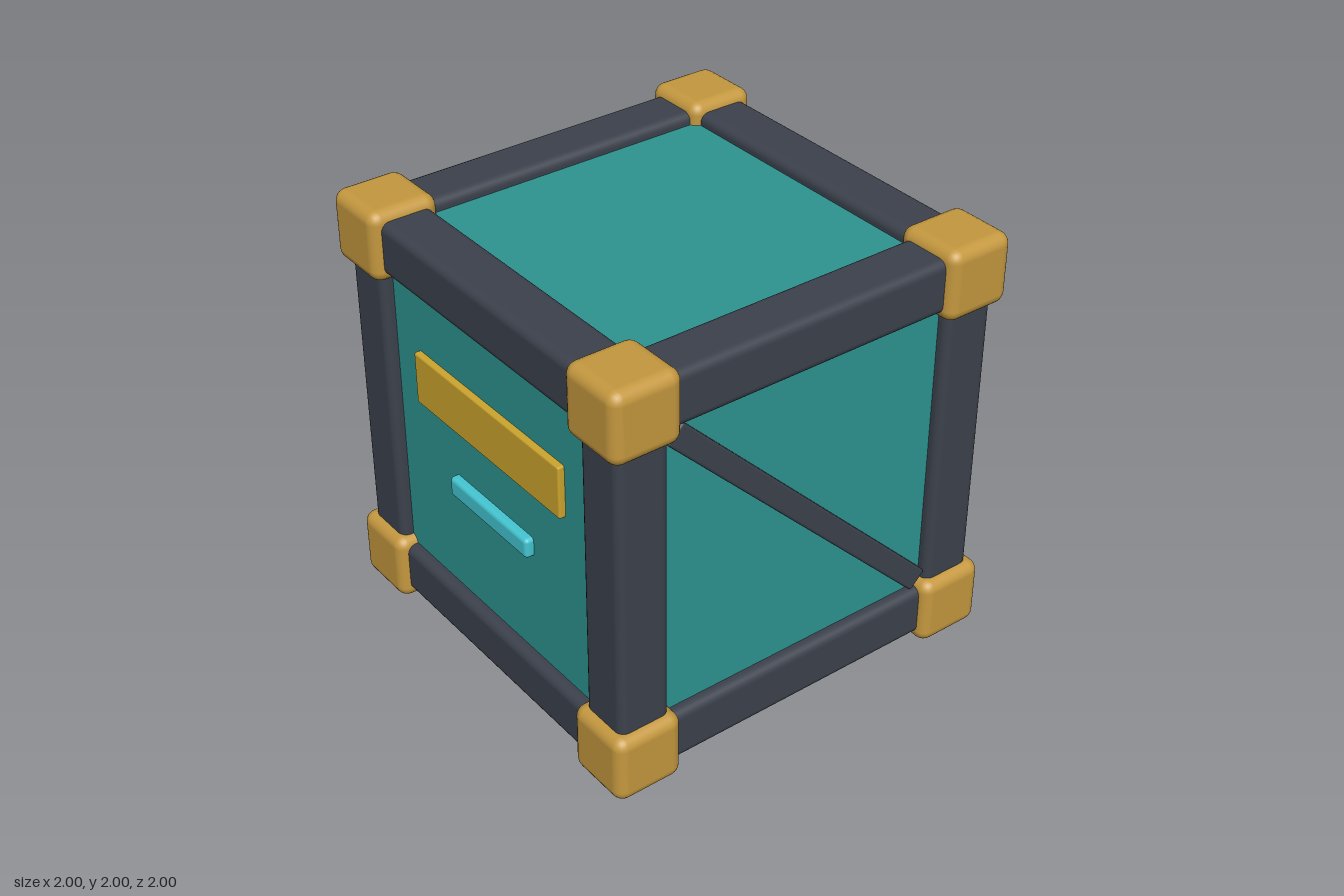
import * as THREE from 'three';
import { RoundedBoxGeometry } from 'three/addons/geometries/RoundedBoxGeometry.js';

function material(name, color) {
  const m = new THREE.MeshStandardMaterial({ color });
  m.name = name;
  return m;
}

export function createModel() {
  const teal = material('teal panel', 0x2d9490);
  const slate = material('dark slate frame', 0x3c414c);
  const gold = material('gold corner', 0xc4983f);
  const yellow = material('yellow plate', 0xcca42d);
  const cyan = material('cyan light', 0x44c6d2);

  // The crate is built around its own centre, then lifted onto the floor
  const model = new THREE.Group();
  model.name = 'crate';
  const body = new THREE.Group();
  body.name = 'crateBody';
  body.position.y = 1;
  model.add(body);

  const add = (name, geometry, mat, x, y, z) => {
    const mesh = new THREE.Mesh(geometry, mat);
    mesh.name = name;
    mesh.position.set(x, y, z);
    body.add(mesh);
    return mesh;
  };

  // Recessed panels on all six sides
  add('panelBox', new THREE.BoxGeometry(1.8, 1.8, 1.8), teal, 0, 0, 0);

  // Twelve edge bars, four along each axis
  const bar = 0.248, span = 1.5, offset = 0.831;
  const barX = new RoundedBoxGeometry(span, bar, bar, 3, 0.04);
  const barY = new RoundedBoxGeometry(bar, span, bar, 3, 0.04);
  const barZ = new RoundedBoxGeometry(bar, bar, span, 3, 0.04);
  const cap = new RoundedBoxGeometry(0.33, 0.33, 0.33, 3, 0.055);
  for (const a of [-1, 1]) {
    for (const b of [-1, 1]) {
      add('crossBar', barX, slate, 0, a * offset, b * offset);
      add('cornerPost', barY, slate, a * offset, 0, b * offset);
      add('sideBar', barZ, slate, a * offset, b * offset, 0);
      // Rounded corner caps
      for (const c of [-1, 1]) add('cornerCap', cap, gold, a * 0.835, b * 0.835, c * 0.835);
    }
  }

  // Diagonal braces, from top front to bottom back on both sides
  const brace = new RoundedBoxGeometry(0.08, 0.107, 1.9, 2, 0.012);
  for (const side of [-1, 1]) {
    add('diagonalBrace', brace, slate, side * 0.9, 0.007, 0).rotation.x = -Math.PI / 4;
  }

  // Name plate and light strip on front and back
  const plate = new RoundedBoxGeometry(1.055, 0.25, 0.06, 2, 0.01);
  const strip = new RoundedBoxGeometry(0.575, 0.097, 0.08, 3, 0.02);
  for (const face of [-1, 1]) {
    add('namePlate', plate, yellow, 0, 0.275, face * 0.9);
    add('lightStrip', strip, cyan, 0, -0.147, face * 0.9);
  }

  return model;
}
